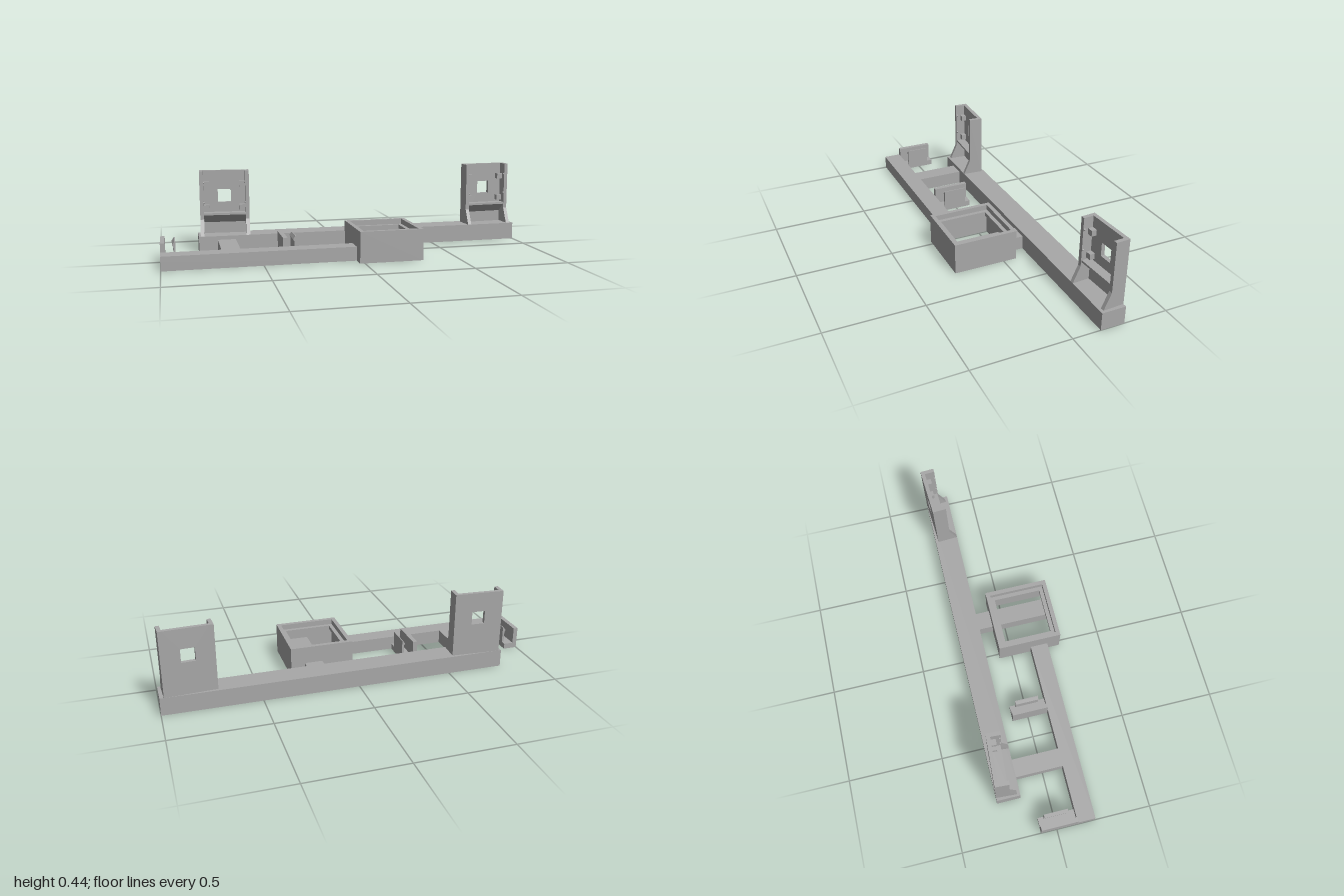
import * as THREE from 'three';

const grey = new THREE.MeshStandardMaterial({ color: 0xa8a8a8 });
grey.name = 'plain grey';

function add(parent, name, geometry) {
  const mesh = new THREE.Mesh(geometry, grey);
  mesh.name = name;
  parent.add(mesh);
  return mesh;
}

function block(parent, name, x0, x1, y0, y1, z0, z1) {
  const g = new THREE.BoxGeometry(x1 - x0, y1 - y0, z1 - z0);
  g.translate((x0 + x1) / 2, (y0 + y1) / 2, (z0 + z1) / 2);
  return add(parent, name, g);
}

function rectPath(Type, x0, x1, y0, y1) {
  const p = new Type();
  p.moveTo(x0, y0);
  p.lineTo(x1, y0);
  p.lineTo(x1, y1);
  p.lineTo(x0, y1);
  p.closePath();
  return p;
}

const extrude = (shape, depth) =>
  new THREE.ExtrudeGeometry(shape, { depth, bevelEnabled: false, curveSegments: 10 });

// Outline in (z, y), extruded along x from x0 to x1
function sideProfile(parent, name, points, x0, x1) {
  const g = extrude(new THREE.Shape(points.map(p => new THREE.Vector2(...p))), x1 - x0);
  g.rotateY(-Math.PI / 2);
  g.translate(x1, 0, 0);
  return add(parent, name, g);
}

// Plan shape in (x, -z), extruded upward from y0 to y1
function plan(parent, name, shape, y0, y1) {
  const g = extrude(shape, y1 - y0);
  g.rotateX(-Math.PI / 2);
  g.translate(0, y0, 0);
  return add(parent, name, g);
}

// Bar with blind screw holes in its underside
function drilledBar(parent, name, x0, x1, z0, z1, h, holes) {
  const shape = rectPath(THREE.Shape, x0, x1, -z1, -z0);
  for (const [x, z] of holes) {
    shape.holes.push(new THREE.Path().absarc(x, -z, 0.022, 0, Math.PI * 2, true));
  }
  plan(parent, name + 'Lower', shape, 0, 0.045);
  block(parent, name + 'Upper', x0, x1, 0.045, h, z0, z1);
}

// Square ring
function ring(parent, name, x0, x1, z0, z1, t, y0, y1) {
  const shape = rectPath(THREE.Shape, x0, x1, -z1, -z0);
  shape.holes.push(rectPath(THREE.Path, x0 + t, x1 - t, -z1 + t, -z0 - t));
  plan(parent, name, shape, y0, y1);
}

// Upright holder: windowed back plate, two flared cheeks, shelf and pegs
function holder(name) {
  const g = new THREE.Group();
  g.name = name;
  const W = 0.131, T = 0.02, H = 0.342, B = -0.036;

  const plate = rectPath(THREE.Shape, -W + T, W - T, 0, H);
  plate.holes.push(rectPath(THREE.Path, -0.035, 0.035, 0.169, 0.239));
  const pg = extrude(plate, T);
  pg.translate(0, 0, B);
  add(g, 'backPlate', pg);

  const cheek = [[B, 0], [0.074, 0], [0.036, 0.083], [0.036, H], [B, H]];
  const F = B + T;
  const shelf = [[F, 0.06], [0.032, 0.105], [0.032, 0.116], [F, 0.116]];
  sideProfile(g, 'shelf', shelf, -W + T, W - T);

  for (const s of [-1, 1]) {
    const inner = s * (W - T), outer = s * W;
    sideProfile(g, 'cheek', cheek, Math.min(inner, outer), Math.max(inner, outer));
    for (const y of [0.142, 0.268]) {
      block(g, 'peg', s * 0.095 - 0.015, s * 0.095 + 0.015, y - 0.015, y + 0.015, F, F + 0.026);
    }
    for (const y of [0.172, 0.281]) {
      const d = new THREE.SphereGeometry(0.006, 10, 8);
      d.translate(inner, y, 0.03);
      add(g, 'detent', d);
    }
  }
  return g;
}

// Cable clip: floor, tall wall and barbed catch
function clip(parent, x) {
  const g = new THREE.Group();
  g.name = 'clip';
  g.position.x = x;
  block(g, 'clipFloor', 0, 0.075, 0, 0.03, -0.085, 0.107);
  block(g, 'clipWall', 0, 0.024, 0.03, 0.118, -0.085, 0.107);
  const s = new THREE.Shape([[0.064, 0.03], [0.075, 0.03], [0.075, 0.118], [0.07, 0.118],
    [0.058, 0.1], [0.064, 0.09]].map(p => new THREE.Vector2(...p)));
  const catchGeo = extrude(s, 0.125);
  catchGeo.translate(0, 0, -0.055);
  add(g, 'clipCatch', catchGeo);
  parent.add(g);
}

export function createModel() {
  const model = new THREE.Group();
  model.name = 'mountingFrame';

  // Beams and cross bars
  drilledBar(model, 'backBeam', -0.8, 1, -0.27, -0.145, 0.093, [[-0.655, -0.205], [0.19, -0.205]]);
  drilledBar(model, 'frontBeam', -1, -0.025, 0.107, 0.2, 0.073, [[-0.655, 0.153]]);
  block(model, 'leftCrossBar', -0.702, -0.607, 0, 0.073, -0.145, 0.107);
  drilledBar(model, 'rightCrossBar', 0.142, 0.237, -0.145, 0.248, 0.073, [[0.19, 0.205]]);

  // Open square tray frame with an inner ledge
  ring(model, 'trayWall', -0.025, 0.31, -0.07, 0.27, 0.022, 0, 0.163);
  ring(model, 'trayLedge', -0.003, 0.288, -0.048, 0.248, 0.021, 0.115, 0.135);

  // Clips behind the front beam
  for (const x of [-1, -0.39]) clip(model, x);

  // Holders, each turned slightly outward
  for (const [name, x, s] of [['rightHolder', -0.655, -1], ['leftHolder', 0.85, 1]]) {
    const h = holder(name);
    h.position.set(x, 0.093, -0.2265);
    h.rotation.y = s * 0.06;
    model.add(h);
  }
  return model;
}
